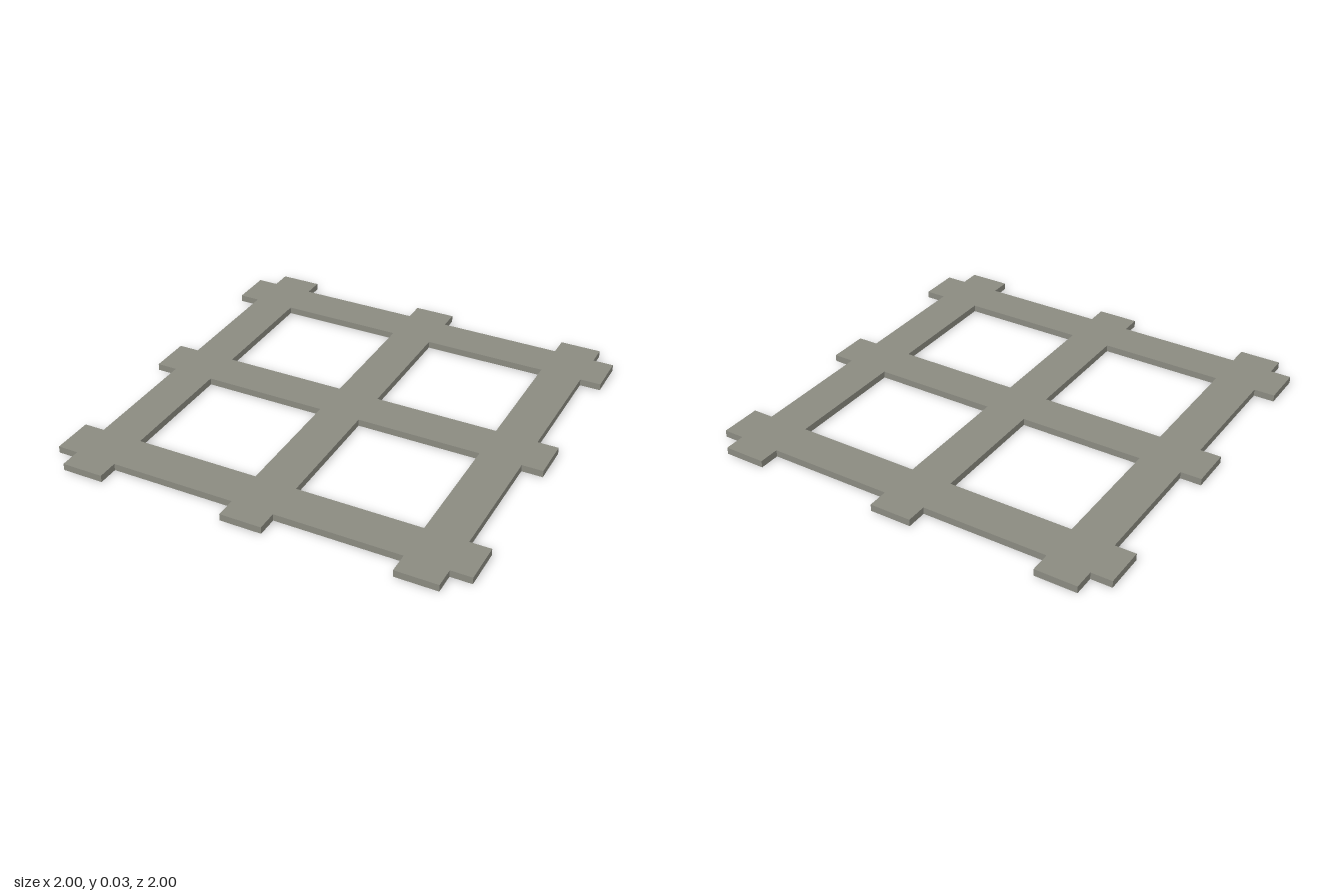
import * as THREE from 'three';

const THICKNESS = 0.033;
const HALF_BAR = 0.1;
const BARS = [-0.8, 0, 0.8]; // centre lines of the crossing bars
const REACH = 1; // bar ends
const RIM = 0.9; // outer edge of the outermost bars

export function createModel() {
  const group = new THREE.Group();
  group.name = 'lattice';

  // Outline: one side with its three bar ends, turned four times
  const side = BARS.flatMap((c) => [
    [c - HALF_BAR, -RIM], [c - HALF_BAR, -REACH],
    [c + HALF_BAR, -REACH], [c + HALF_BAR, -RIM],
  ]).slice(0, -1);
  const outline = [];
  for (let turn = 0, pts = side; turn < 4; turn++) {
    outline.push(...pts.map(([x, y]) => new THREE.Vector2(x, y)));
    pts = pts.map(([x, y]) => [-y, x]);
  }
  const shape = new THREE.Shape(outline);

  // Square openings between the bars
  for (let i = 0; i < BARS.length - 1; i++) {
    for (let j = 0; j < BARS.length - 1; j++) {
      const x0 = BARS[i] + HALF_BAR, x1 = BARS[i + 1] - HALF_BAR;
      const y0 = BARS[j] + HALF_BAR, y1 = BARS[j + 1] - HALF_BAR;
      shape.holes.push(new THREE.Path([
        new THREE.Vector2(x0, y0), new THREE.Vector2(x0, y1),
        new THREE.Vector2(x1, y1), new THREE.Vector2(x1, y0),
      ]));
    }
  }

  // Flat plate lying on the ground
  const geometry = new THREE.ExtrudeGeometry(shape, { depth: THICKNESS, bevelEnabled: false });
  geometry.rotateX(-Math.PI / 2);
  const plate = new THREE.Mesh(geometry, new THREE.MeshStandardMaterial({ color: 0x8a8a80 }));
  plate.name = 'gridPlate';
  group.add(plate);
  return group;
}
